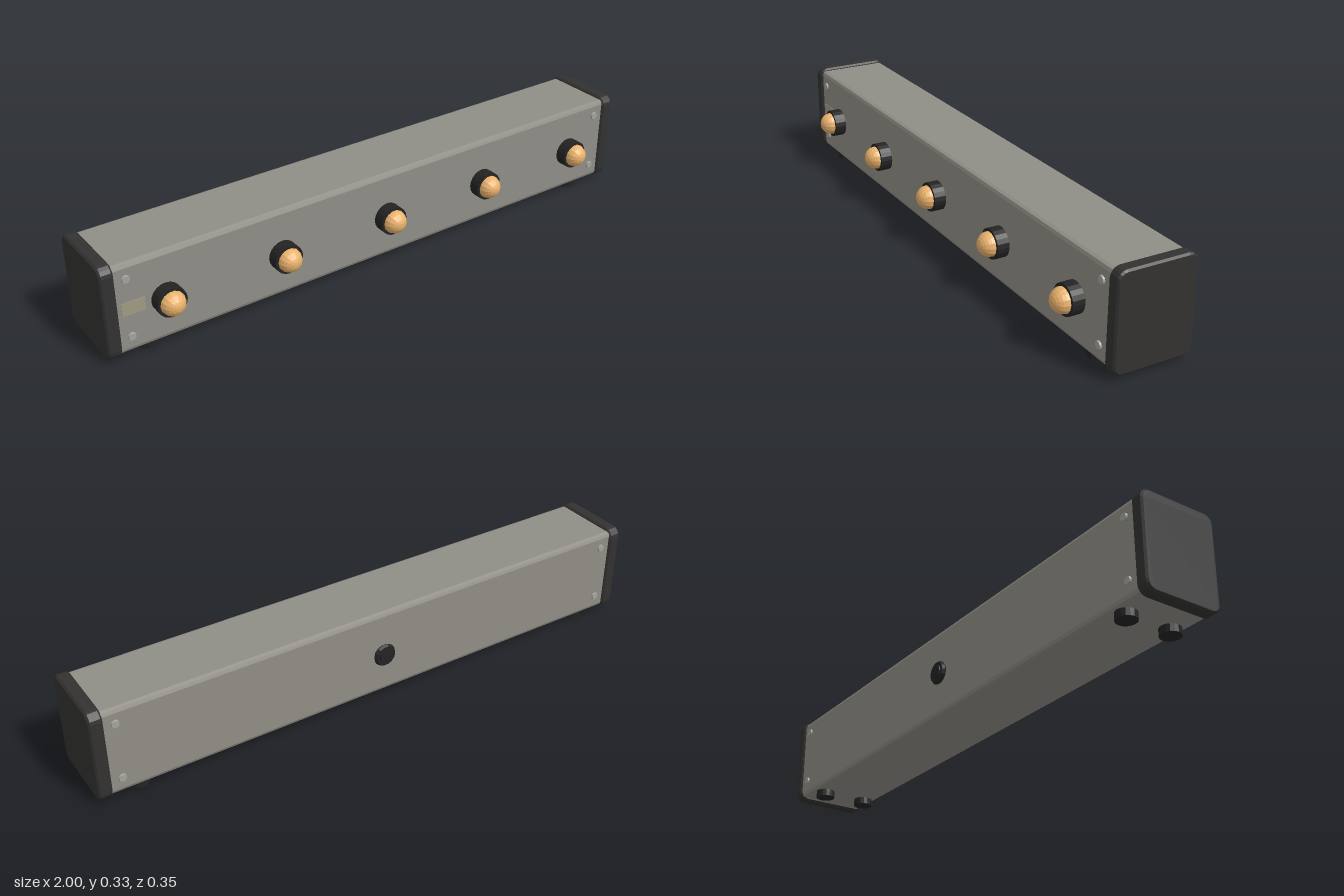
import * as THREE from 'three';

const paint = (color) => new THREE.MeshStandardMaterial({ color, flatShading: true });

// Rounded rectangle running along x, centred on the origin
function bar(length, height, depth, radius, segments, bevel) {
  const w = depth / 2 - bevel, h = height / 2 - bevel, r = radius;
  const s = new THREE.Shape();
  s.moveTo(-w + r, -h);
  s.lineTo(w - r, -h);
  s.absarc(w - r, -h + r, r, -Math.PI / 2, 0);
  s.lineTo(w, h - r);
  s.absarc(w - r, h - r, r, 0, Math.PI / 2);
  s.lineTo(-w + r, h);
  s.absarc(-w + r, h - r, r, Math.PI / 2, Math.PI);
  s.lineTo(-w, -h + r);
  s.absarc(-w + r, -h + r, r, Math.PI, Math.PI * 1.5);
  const g = new THREE.ExtrudeGeometry(s, {
    depth: length - 2 * bevel, curveSegments: segments,
    bevelEnabled: bevel > 0, bevelThickness: bevel, bevelSize: bevel, bevelSegments: 1,
  });
  return g.center().rotateY(Math.PI / 2);
}

// Cylinder whose axis runs along z
const disc = (rFront, rBack, depth, sides) =>
  new THREE.CylinderGeometry(rFront, rBack, depth, sides).rotateX(Math.PI / 2);

export function createModel() {
  const group = new THREE.Group();
  const metal = paint(0x908e86), dark = paint(0x333231), black = paint(0x232323);
  const amber = paint(0xe9b26c), steel = paint(0xa3a39e), tag = paint(0xa09b83);
  const midY = 0.174, midZ = -0.03, lampY = 0.168;
  const front = 0.095, back = -0.155;

  const add = (name, geometry, material, x, y, z) => {
    const mesh = new THREE.Mesh(geometry, material);
    mesh.name = name;
    mesh.position.set(x, y, z);
    group.add(mesh);
    return mesh;
  };

  // Long housing with chamfered edges
  add('housing', bar(1.93, 0.3, 0.25, 0.014, 1, 0), metal, 0, midY, midZ);

  // End caps, feet and corner screws, mirrored left and right
  const cap = bar(0.044, 0.318, 0.266, 0.026, 2, 0.006);
  const foot = new THREE.CylinderGeometry(0.033, 0.033, 0.028, 16);
  const screw = disc(0.012, 0.014, 0.008, 12);
  for (const side of [-1, 1]) {
    add('endCap', cap, dark, side * 0.978, midY, midZ);
    for (const z of [0.05, -0.11]) add('foot', foot, black, side * 0.855, 0.014, z);
    for (const y of [0.077, 0.275]) {
      add('frontScrew', screw, steel, side * 0.92, y, front + 0.002);
      add('backScrew', screw, steel, side * 0.92, y, back - 0.002).rotation.y = Math.PI;
    }
  }

  // Five domed lamps in dark collars
  const collar = disc(0.049, 0.049, 0.042, 20);
  const dome = new THREE.SphereGeometry(0.04, 14, 6, 0, Math.PI * 2, 0, Math.PI / 2)
    .rotateX(Math.PI / 2);
  for (let i = -2; i <= 2; i++) {
    add('lampCollar', collar, black, i * 0.4, lampY, 0.114);
    add('lampDome', dome, amber, i * 0.4, lampY, 0.135);
  }

  // Blank plate on the front
  add('plate', new THREE.BoxGeometry(0.075, 0.044, 0.004), tag, -0.905, 0.174, front);

  // Cable socket at the back
  add('socketRing', new THREE.TorusGeometry(0.03, 0.01, 6, 14), black, 0, lampY, -0.161);
  add('socketCore', disc(0.024, 0.024, 0.022, 12), black, 0, lampY, -0.163);

  return group;
}
